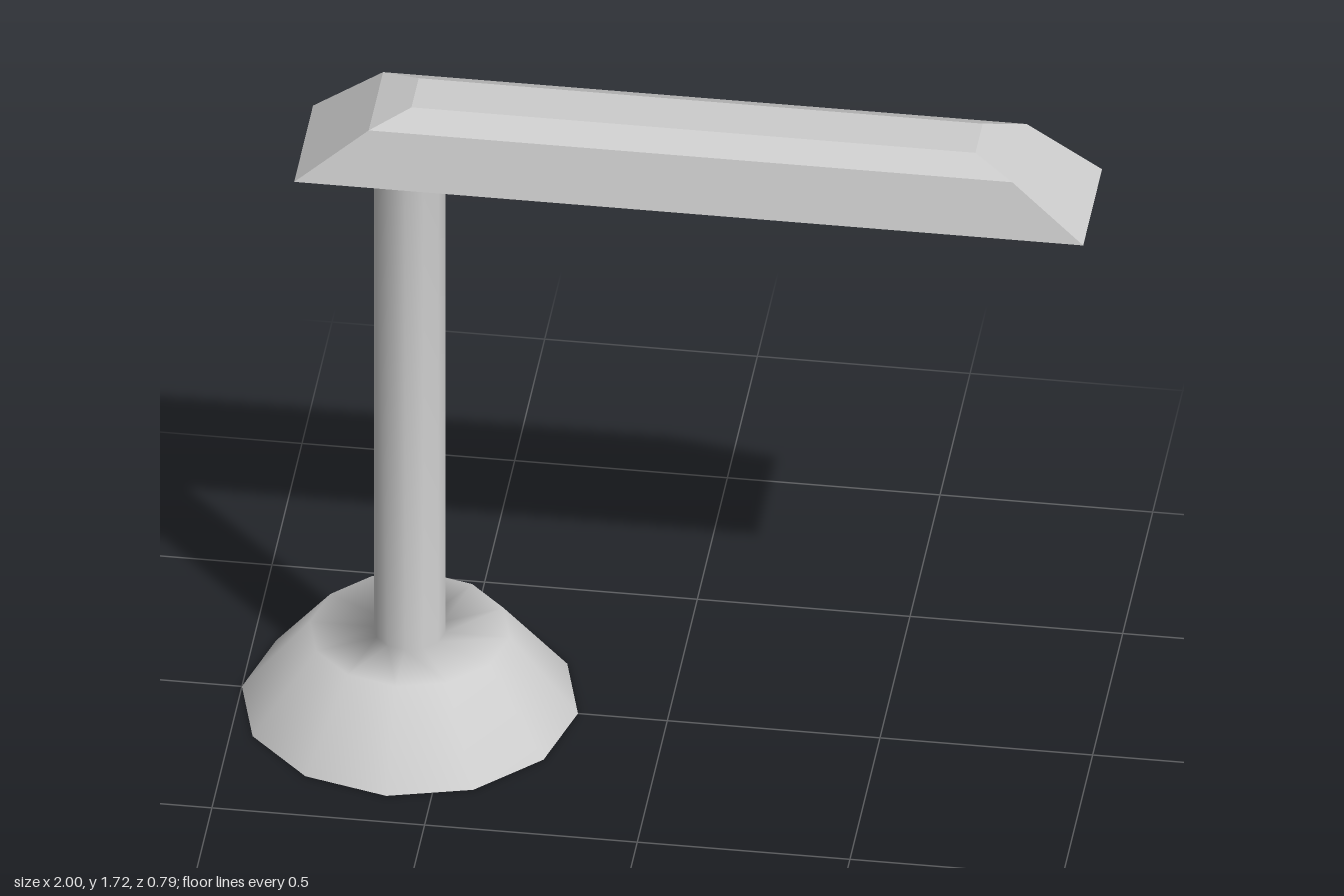
import * as THREE from 'three';

// Faceted shell through a stack of rectangular rings [x0, x1, halfDepth, y], capped at both ends
function ringShell(rings) {
  const corners = rings.map(([x0, x1, h, y]) => [[x0, y, h], [x1, y, h], [x1, y, -h], [x0, y, -h]]);
  const pos = [];
  const quad = (a, b, c, d) => [a, b, c, a, c, d].forEach((p) => pos.push(...p));
  for (let r = 0; r < corners.length - 1; r++) {
    const a = corners[r], b = corners[r + 1];
    for (let i = 0; i < 4; i++) {
      const j = (i + 1) % 4;
      quad(a[i], a[j], b[j], b[i]);
    }
  }
  quad(...corners[0].slice().reverse());
  quad(...corners[corners.length - 1]);
  const geo = new THREE.BufferGeometry();
  geo.setAttribute('position', new THREE.Float32BufferAttribute(pos, 3));
  geo.computeVertexNormals();
  return geo;
}

export function createModel() {
  const group = new THREE.Group();
  const grey = new THREE.MeshStandardMaterial({ color: 0xcccccc, side: THREE.DoubleSide });
  grey.name = 'light grey';

  // Hollow flared foot running smoothly into the post
  const profile = [[0.395, 0], [0.235, 0.2], [0.084, 0.2], [0.084, 1.555]]
    .map(([r, y]) => new THREE.Vector2(r, y));
  const stand = new THREE.Mesh(new THREE.LatheGeometry(profile, 12), grey);
  stand.name = 'stand';
  stand.position.x = -0.605;
  group.add(stand);

  // Lamp head: recessed slot below, sloped sides, bevelled top
  const head = new THREE.Mesh(ringShell([
    [-0.47, 0.895, 0.065, 1.605],
    [-0.47, 0.895, 0.065, 1.553],
    [-0.855, 1, 0.157, 1.553],
    [-0.685, 0.828, 0.12, 1.69],
    [-0.593, 0.733, 0.06, 1.723],
  ]), grey);
  head.name = 'lampHead';
  group.add(head);

  return group;
}
